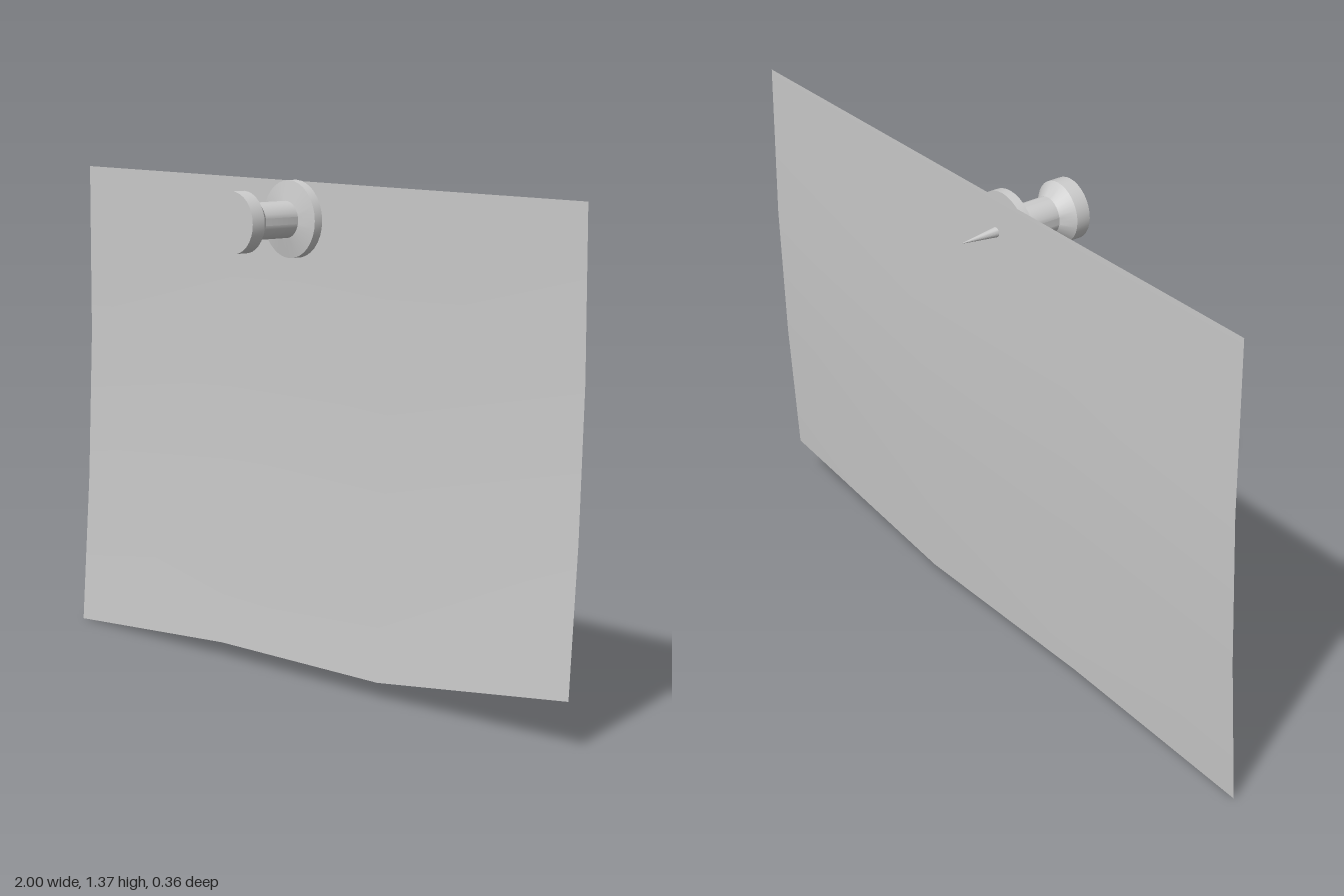
import * as THREE from 'three';
import { toCreasedNormals } from 'three/addons/utils/BufferGeometryUtils.js';

const grey = new THREE.MeshStandardMaterial({ color: 0xcccccc });
const greyThin = new THREE.MeshStandardMaterial({ color: 0xcccccc, side: THREE.DoubleSide });

// Turned part along z from [radius, z] pairs, listed back to front
function turned(name, profile) {
  const points = profile.map(([r, z]) => new THREE.Vector2(r, z));
  const geometry = new THREE.LatheGeometry(points, 32).rotateX(Math.PI / 2);
  const mesh = new THREE.Mesh(toCreasedNormals(geometry, 0.4), grey);
  mesh.name = name;
  return mesh;
}

// Paper sheet: flat at the top, curling forward to an uneven lower edge
function makeSheet() {
  const top = 1.36;
  const columns = [
    { x: -1, bottom: 0, z: -0.015 },
    { x: -0.35, bottom: 0.04, z: -0.021 },
    { x: 0.3, bottom: 0.045, z: -0.021 },
    { x: 1, bottom: 0.13, z: -0.017 },
  ];
  const rows = [
    { drop: 0, curl: 0 },
    { drop: 0.36, curl: 0 },
    { drop: 0.68, curl: 0.36 },
    { drop: 1, curl: 1 },
  ];
  const geometry = new THREE.PlaneGeometry(2, top, 3, 3);
  const position = geometry.attributes.position;
  rows.forEach(({ drop, curl }, r) => columns.forEach(({ x, bottom, z }, c) => {
    position.setXYZ(r * 4 + c, x, THREE.MathUtils.lerp(top, bottom, drop),
      THREE.MathUtils.lerp(-0.059, z, curl));
  }));
  geometry.computeVertexNormals();
  const sheet = new THREE.Mesh(geometry, greyThin);
  sheet.name = 'paperSheet';
  return sheet;
}

export function createModel() {
  const model = new THREE.Group();
  model.name = 'pinnedNote';

  // Push pin pointing backward through the sheet
  const pin = new THREE.Group();
  pin.name = 'pushPin';
  pin.position.set(-0.048, 1.26, 0);
  pin.add(
    turned('pinHandle', [
      [0, -0.039], [0.105, -0.039], [0.105, -0.013], [0.05, -0.002],
      [0.05, 0.11], [0.083, 0.143], [0.083, 0.184], [0, 0.184],
    ]),
    turned('pinNeedle', [[0, -0.175], [0.016, -0.038], [0, -0.038]]),
  );

  model.add(makeSheet(), pin);
  return model;
}
